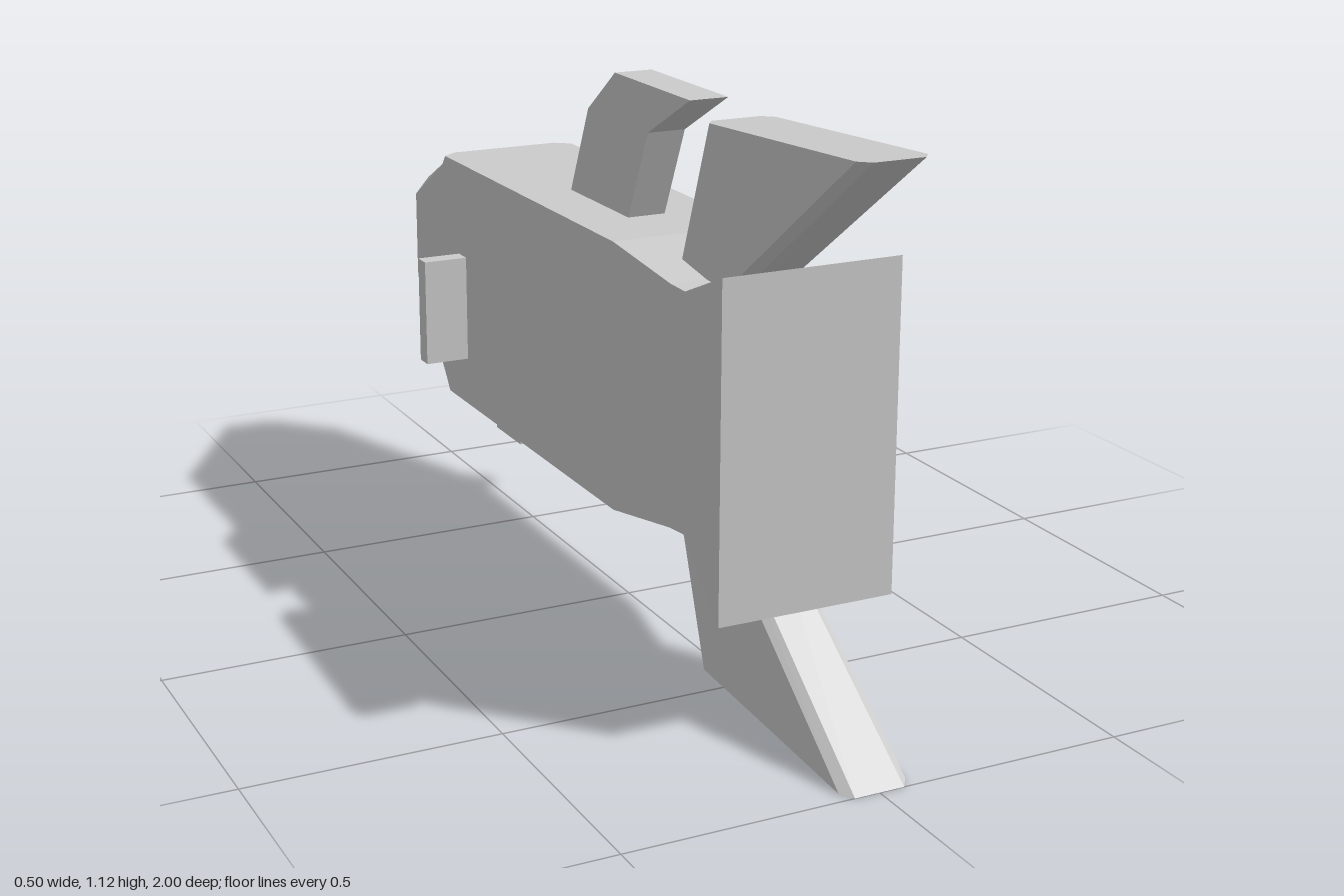
import * as THREE from 'three';

const grey = new THREE.MeshStandardMaterial({ color: 0xcccccc, flatShading: true });
const MID = 0.565; // height of the body axis

// Closed flat-shaded solid through a series of matching rings of points
function loft(rings) {
  const pos = [];
  const tri = (a, b, c) => {
    const n = b.clone().sub(a).cross(c.clone().sub(a));
    if (n.length() > 1e-9) for (const p of [a, b, c]) pos.push(p.x, p.y, p.z);
  };
  const n = rings[0].length;
  for (let i = 0; i < rings.length - 1; i++) {
    for (let j = 0; j < n; j++) {
      const k = (j + 1) % n, lo = rings[i], hi = rings[i + 1];
      tri(lo[j], lo[k], hi[k]);
      tri(lo[j], hi[k], hi[j]);
    }
  }
  const first = rings[0], last = rings[rings.length - 1];
  for (let j = 1; j < n - 1; j++) {
    tri(first[0], first[j + 1], first[j]);
    tri(last[0], last[j], last[j + 1]);
  }
  const geo = new THREE.BufferGeometry();
  geo.setAttribute('position', new THREE.Float32BufferAttribute(pos, 3));
  geo.computeVertexNormals();
  return geo;
}

// Rectangle with cut corners: half width w, half height h, corner cuts cx and cy
function bodyRing([z, w, h, cx, cy]) {
  return [
    [w - cx, -h], [w, cy - h], [w, h - cy], [w - cx, h],
    [cx - w, h], [-w, h - cy], [-w, cy - h], [cx - w, -h],
  ].map(([x, y]) => new THREE.Vector3(x, MID + y, z));
}

// Fin section from leading edge z0 to trailing edge z1, both edges bevelled
function finRing(z0, y0, z1, y1, w, edge) {
  const c = 0.025;
  return [
    [z0, -edge], [z0 + c, -w], [z1 - c, -w], [z1, -edge],
    [z1, edge], [z1 - c, w], [z0 + c, w], [z0, edge],
  ].map(([z, x]) => new THREE.Vector3(x, THREE.MathUtils.mapLinear(z, z0, z1, y0, y1), z));
}

export function createModel() {
  const model = new THREE.Group();
  const add = (name, geo, x = 0, y = 0, z = 0) => {
    const mesh = new THREE.Mesh(geo, grey);
    mesh.name = name;
    mesh.position.set(x, y, z);
    model.add(mesh);
    return mesh;
  };

  // Body: bevelled nose, straight middle, narrow waist, flared tail
  add('body', loft([
    [-1, 0.075, 0.133, 0.032, 0.037],
    [-0.635, 0.15, 0.27, 0.03, 0.025],
    [-0.61, 0.152, 0.27, 0, 0],
    [0.24, 0.15, 0.27, 0, 0],
    [0.45, 0.134, 0.237, 0, 0],
    [0.5, 0.13, 0.234, 0, 0],
    [0.735, 0.18, 0.322, 0, 0],
  ].map(bodyRing)));

  // Swept tail fins above and below
  const finGeo = loft([
    finRing(0.313, 0.78, 0.53, 0.785, 0.06, 0.042),
    finRing(0.445, 1.095, 1, 1.127, 0.068, 0.05),
  ]);
  add('upperTailFin', finGeo);
  add('lowerTailFin', finGeo, 0, 2 * MID).rotation.z = Math.PI;

  // Hooked fin on the back, drawn in (-z, y) and extruded across x
  const outline = [
    [-0.07, 0.81], [-0.08, 0.835], [-0.165, 1.02], [-0.34, 1.113],
    [-0.02, 1.113], [0.105, 1.02], [0.19, 0.835], [0.2, 0.81],
  ].map(([x, y]) => new THREE.Vector2(x, y));
  const dorsal = new THREE.ExtrudeGeometry(new THREE.Shape(outline), { depth: 0.08, bevelEnabled: false });
  dorsal.translate(0, 0, -0.04).rotateY(Math.PI / 2);
  add('dorsalFin', dorsal);

  // Side stubs and the pair of tabs under the nose
  for (const [side, s] of [['left', 1], ['right', -1]]) {
    add(side + 'Stub', new THREE.BoxGeometry(0.115, 0.23, 0.04), s * 0.19, 0.515, -0.52);
    add(side + 'NoseTab', new THREE.BoxGeometry(0.03, 0.12, 0.135), s * 0.035, 0.26, -0.5175);
  }
  return model;
}
